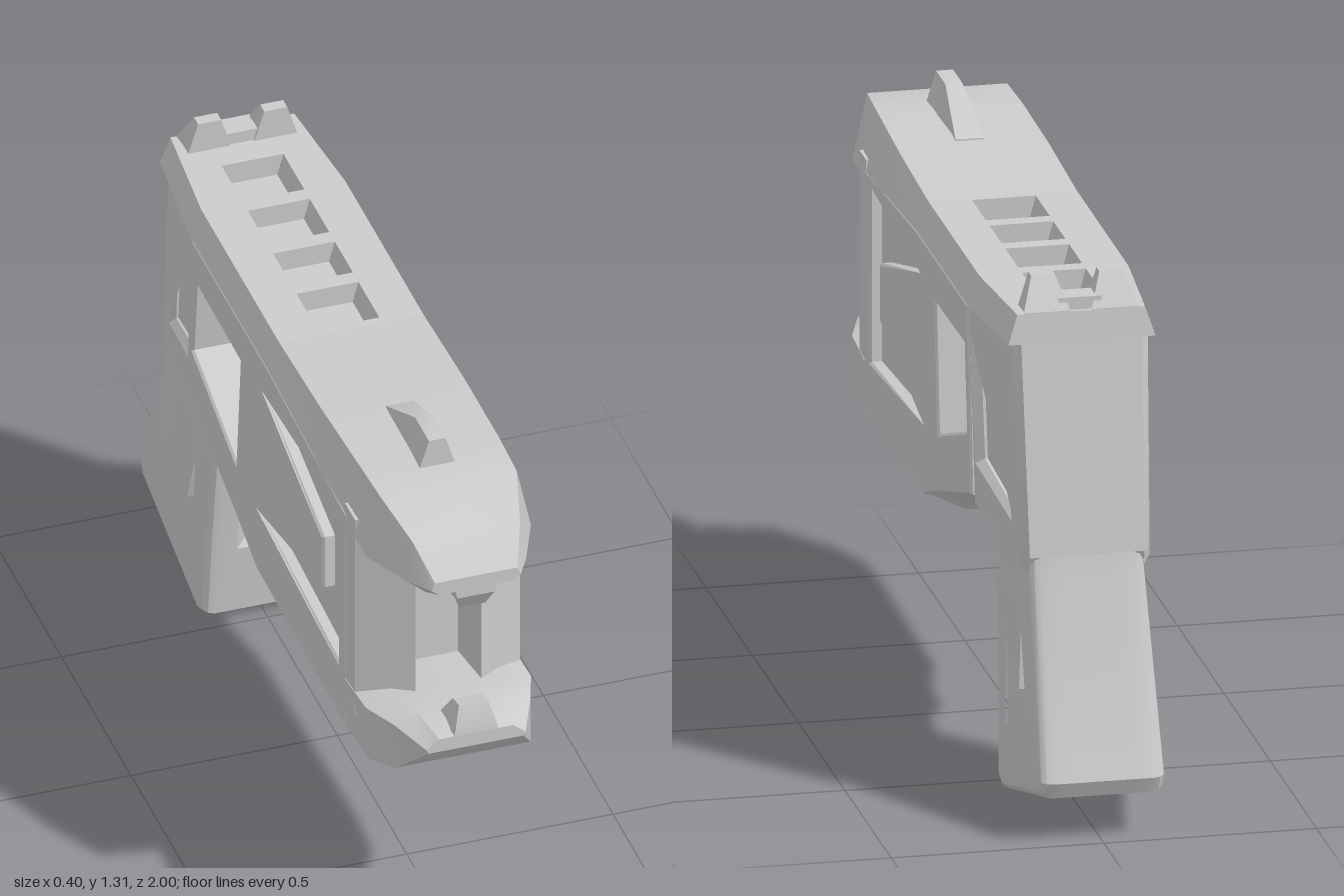
import * as THREE from 'three';
import { toCreasedNormals } from 'three/addons/utils/BufferGeometryUtils.js';

const material = new THREE.MeshStandardMaterial({ color: 0xcccccc });

function part(name, geometry, crease = 0.5) {
  const mesh = new THREE.Mesh(toCreasedNormals(geometry, crease), material);
  mesh.name = name;
  return mesh;
}

// Move every vertex by a rule
function reshape(geometry, rule) {
  const p = geometry.attributes.position, v = new THREE.Vector3();
  for (let i = 0; i < p.count; i++) {
    rule(v.fromBufferAttribute(p, i));
    p.setXYZ(i, v.x, v.y, v.z);
  }
  return geometry;
}

function outline(points, holes = []) {
  const vec = (list) => list.map(([a, b]) => new THREE.Vector2(a, b));
  const shape = new THREE.Shape(vec(points));
  shape.holes = holes.map((h) => new THREE.Path(vec(h)));
  return shape;
}

// Side profile of [z, y] points, extruded across x from -half to +half
function slab(points, half, { holes = [], bevel = 0, steps = 1 } = {}) {
  const depth = 2 * (half - bevel);
  return new THREE.ExtrudeGeometry(outline(points, holes), {
    depth, steps, bevelEnabled: bevel > 0, bevelThickness: bevel,
    bevelSize: bevel, bevelOffset: -bevel, bevelSegments: bevel > 0.02 ? 3 : 1,
  }).translate(0, 0, -depth / 2).rotateY(-Math.PI / 2);
}

// Mirrored cross-sections [z, half profile of [x, y] from bottom to top], z ascending
function loft(sections) {
  const rings = sections.map(([z, half]) => [
    ...half.map(([x, y]) => [x, y, z]),
    ...half.map(([x, y]) => [-x, y, z]).reverse(),
  ]);
  const n = rings[0].length, pos = [];
  const tri = (...corners) => corners.forEach((c) => pos.push(...c));
  for (let s = 0; s < rings.length - 1; s++) {
    const a = rings[s], b = rings[s + 1];
    for (let i = 0; i < n; i++) {
      const j = (i + 1) % n;
      tri(a[i], a[j], b[j]);
      tri(a[i], b[j], b[i]);
    }
  }
  const first = rings[0], last = rings[rings.length - 1];
  for (let i = 1; i < n - 1; i++) {
    tri(first[0], first[i + 1], first[i]);
    tri(last[0], last[i], last[i + 1]);
  }
  const g = new THREE.BufferGeometry();
  g.setAttribute('position', new THREE.Float32BufferAttribute(pos, 3));
  return g;
}

export function createModel() {
  const model = new THREE.Group();
  model.name = 'blaster';
  const add = (...args) => model.add(part(...args));

  // Main body with open window and arrow-shaped side recesses
  const windowHole = [[-0.10, 1.03], [-0.42, 1.035], [-0.445, 0.83], [-0.13, 0.72]];
  const arrowRecess = [[0.605, 1.08], [0.06, 1.05], [0.495, 0.93], [0.495, 0.79], [0.02, 0.695], [0.605, 0.655]];
  add('body', slab(
    [[0.66, 1.105], [0.1, 1.14], [-0.45, 1.14], [-0.49, 0.69], [-0.12, 0.575], [0.02, 0.525], [0.66, 0.51]],
    0.202, { holes: [windowHole, arrowRecess], bevel: 0.006 }));
  add('recessFloor', slab([[0.63, 1.09], [0.02, 1.08], [-0.02, 0.67], [0.63, 0.64]], 0.172));

  // Sloped underside above the trigger
  add('triggerHousing', loft([
    [-0.49, [[0.11, 0.66], [0.195, 0.70], [0.1, 0.72]]],
    [-0.12, [[0.13, 0.53], [0.2, 0.58], [0.1, 0.62]]],
    [0.03, [[0.19, 0.524], [0.2, 0.54], [0.1, 0.56]]],
  ]));

  // Angled front columns either side of the muzzle slot
  for (const s of [1, -1]) {
    const column = new THREE.ExtrudeGeometry(
      outline([[s * 0.2, 0.65], [s * 0.2, 0.72], [s * 0.08, 0.8], [s * 0.07, 0.65]]),
      { depth: 0.55, bevelEnabled: false });
    add(s > 0 ? 'leftColumn' : 'rightColumn', column.rotateX(Math.PI / 2).translate(0, 1.13, 0));
  }

  // Upper shell running forward into the upper jaw
  add('upperJaw', loft([
    [0.1, [[0.15, 1.12], [0.202, 1.14], [0.175, 1.21]]],
    [0.4, [[0.15, 1.1], [0.202, 1.12], [0.175, 1.226]]],
    [0.66, [[0.13, 1.06], [0.202, 1.09], [0.17, 1.238]]],
    [0.8, [[0.13, 1.045], [0.2, 1.08], [0.165, 1.24]]],
    [0.93, [[0.1, 1.045], [0.145, 1.085], [0.13, 1.19]]],
    [1.0, [[0.09, 1.08], [0.108, 1.095], [0.1, 1.115]]],
  ]));
  add('lowerJaw', loft([
    [0.65, [[0.2, 0.51], [0.202, 0.64], [0.13, 0.66]]],
    [0.8, [[0.19, 0.508], [0.2, 0.655], [0.13, 0.675]]],
    [0.9, [[0.165, 0.545], [0.165, 0.665], [0.11, 0.69]]],
    [1.0, [[0.115, 0.64], [0.12, 0.65], [0.09, 0.675]]],
  ]));
  add('upperTooth', loft([
    [0.9, [[0.05, 1.04], [0.06, 1.08]]],
    [0.94, [[0.032, 1.02], [0.055, 1.09]]],
    [0.97, [[0.032, 1.012], [0.055, 1.1]]],
    [1.0, [[0.045, 1.06], [0.055, 1.1]]],
  ]));
  add('lowerTooth', loft([
    [0.91, [[0.06, 0.66], [0.055, 0.69]]],
    [0.935, [[0.06, 0.66], [0.035, 0.735]]],
    [0.98, [[0.06, 0.66], [0.035, 0.745]]],
    [1.0, [[0.06, 0.65], [0.05, 0.69]]],
  ]));

  // Top plate with four tapered pits
  const pits = [[-0.61, -0.46], [-0.42, -0.28], [-0.24, -0.11], [-0.07, 0.08]].map(
    ([a, b]) => [[-0.075, a], [0.075, a], [0.075, b], [-0.075, b]]);
  const plate = new THREE.ExtrudeGeometry(
    outline([[0.175, 0.1], [0.175, -0.46], [0.15, -0.755], [-0.15, -0.755], [-0.175, -0.46], [-0.175, 0.1]], pits),
    { depth: 0.07, bevelEnabled: false }).rotateX(Math.PI / 2).translate(0, 1.21, 0);
  add('topPlate', reshape(plate, (v) => {
    if (v.y > 1.18) return;
    v.x *= Math.abs(v.x) < 0.1 ? 0.75 : 1.155;
    if (v.z < -0.7) v.z -= 0.008;
  }));
  add('pitFloor', new THREE.BoxGeometry(0.2, 0.06, 0.56).translate(0, 1.127, -0.19));

  // Rear frame, narrowing towards the back, with recessed side panels
  const narrow = (v) => { v.x *= 1 - 0.7 * Math.max(0, -0.45 - v.z); };
  add('rearFrame', reshape(slab(
    [[-0.44, 1.155], [-0.76, 1.155], [-0.82, 0.64], [-0.8, 0.6], [-0.48, 0.66]], 0.2,
    { holes: [[[-0.485, 1.065], [-0.675, 1.125], [-0.72, 0.725], [-0.515, 0.785]]], bevel: 0.018 }), narrow));
  add('rearPanelFloor', reshape(
    slab([[-0.47, 1.13], [-0.71, 1.14], [-0.76, 0.68], [-0.5, 0.73]], 0.175), narrow));

  // Grip: rounded, with a groove down the front and recessed side panels
  const flare = (v) => { v.x *= 1 + 0.15 * (0.3 - v.y); };
  add('grip', reshape(slab(
    [[-0.48, 0.72], [-0.475, 0.56], [-0.478, 0.52], [-0.507, 0.24], [-0.51, 0.2], [-0.525, 0.02],
      [-0.57, 0], [-0.98, 0.11], [-1, 0.15], [-0.825, 0.6], [-0.81, 0.72]],
    0.145, {
      holes: [[[-0.565, 0.55], [-0.58, 0.14], [-0.86, 0.19], [-0.835, 0.33], [-0.75, 0.54]]],
      bevel: 0.03, steps: 5,
    }), (v) => {
    if (Math.abs(v.x) < 0.03 && v.z > -0.54 && v.y > 0.22 && v.y < 0.54) v.z -= 0.035;
    flare(v);
  }));
  add('gripPanelFloor', reshape(
    slab([[-0.55, 0.6], [-0.565, 0.1], [-0.9, 0.15], [-0.87, 0.34], [-0.77, 0.6]], 0.128), flare));
  add('gripInlay', reshape(
    slab([[-0.565, 0.59], [-0.59, 0.44], [-0.65, 0.27], [-0.745, 0.3], [-0.755, 0.59]], 0.144), flare));

  // Curved trigger, tapering towards its tip
  add('trigger', reshape(slab(
    [[-0.12, 0.58], [-0.15, 0.51], [-0.178, 0.46], [-0.172, 0.41], [-0.145, 0.36], [-0.105, 0.322], [-0.04, 0.315],
      [-0.04, 0.303], [-0.14, 0.305], [-0.2, 0.345], [-0.25, 0.42], [-0.278, 0.51], [-0.26, 0.62]],
    0.045, { bevel: 0.005 }), (v) => { v.x *= 0.65 + 1.8 * (v.y - 0.3); }));

  // Waisted chamber barrel seen through the window
  const profile = [[0, -0.2], [0.075, -0.2], [0.075, -0.16], [0.092, -0.155], [0.092, -0.09], [0.074, -0.07],
    [0.074, 0.06], [0.09, 0.08], [0.09, 0.2], [0, 0.2]].map(([r, y]) => new THREE.Vector2(r, y));
  add('barrel', new THREE.LatheGeometry(profile, 24).rotateX(Math.PI / 2 + 0.1).translate(0, 0.895, -0.255));

  // Sights
  add('frontSight', loft([
    [0.45, [[0.035, 1.2], [0.033, 1.232]]],
    [0.62, [[0.042, 1.22], [0.02, 1.31]]],
    [0.72, [[0.045, 1.23], [0.02, 1.31]]],
  ]));
  for (const s of [1, -1]) {
    const sight = loft([
      [-0.755, [[0.055, 1.19], [0.055, 1.212]]],
      [-0.71, [[0.055, 1.2], [0.028, 1.287]]],
      [-0.68, [[0.055, 1.2], [0.028, 1.287]]],
    ]);
    add(s > 0 ? 'leftRearSight' : 'rightRearSight', sight.translate(s * 0.08, 0, 0));
  }
  add('rearSightBase', new THREE.BoxGeometry(0.1, 0.05, 0.06).translate(0, 1.215, -0.715));

  return model;
}
